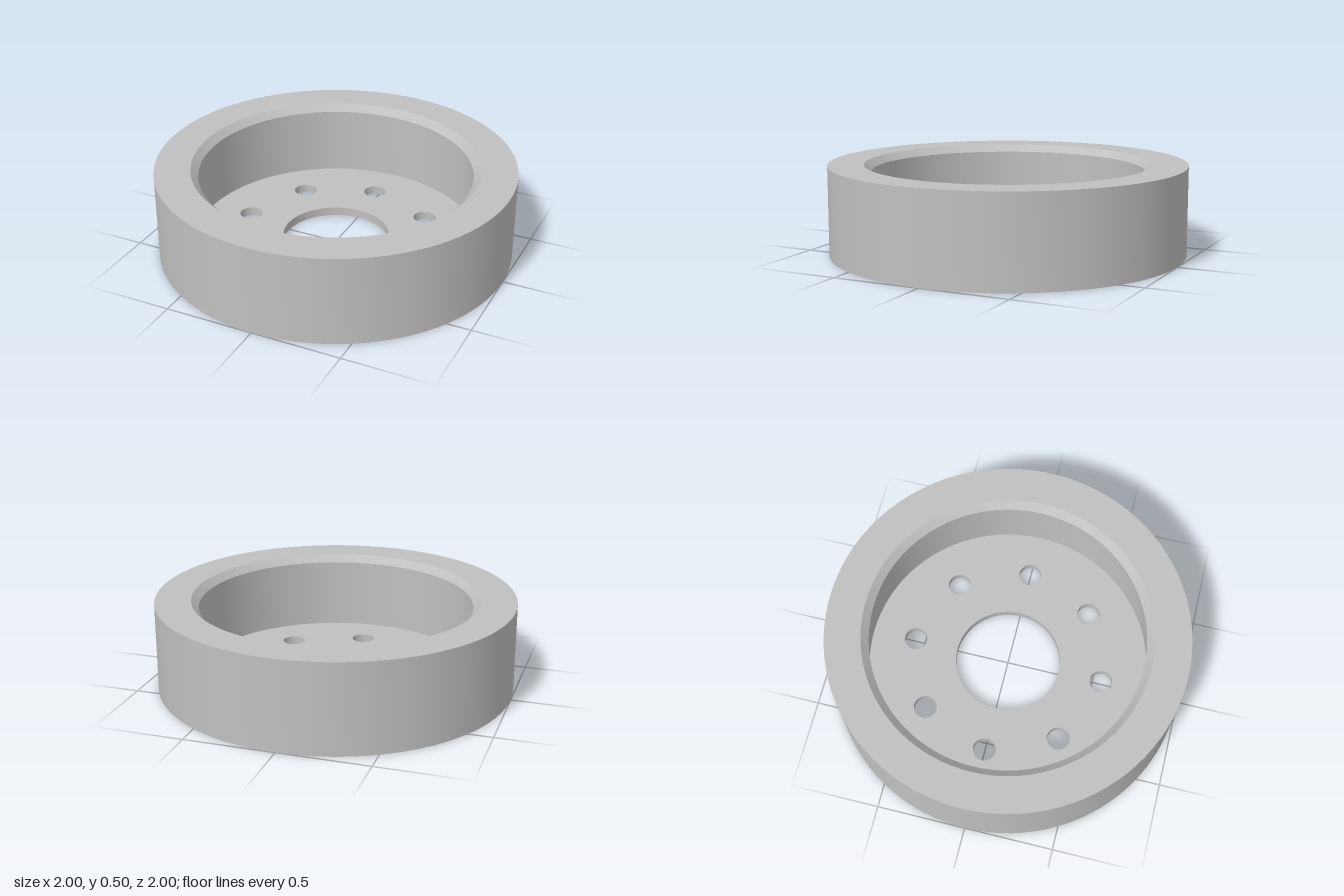
import * as THREE from 'three';
import { toCreasedNormals } from 'three/addons/utils/BufferGeometryUtils.js';

const SEGMENTS = 96;
const CREASE = 0.5;
const WALL_RADIUS = 0.8;
const FLOOR_THICKNESS = 0.05;

function circle(Type, x, y, radius) {
  const path = new Type();
  path.absarc(x, y, radius, 0, Math.PI * 2, false);
  return path;
}

export function createModel() {
  const group = new THREE.Group();
  group.name = 'hubRing';

  const metal = new THREE.MeshStandardMaterial({ color: 0xc0c0c0 });
  metal.name = 'grey metal';

  // Outer ring: thick wall with a bevelled lip that overhangs the recess
  const profile = [
    [WALL_RADIUS, 0],
    [1, 0],
    [1, 0.5],
    [WALL_RADIUS, 0.5],
    [0.76, 0.46],
    [WALL_RADIUS, 0.46],
    [WALL_RADIUS, FLOOR_THICKNESS],
  ].map(([r, y]) => new THREE.Vector2(r, y));
  const ringGeometry = toCreasedNormals(new THREE.LatheGeometry(profile, SEGMENTS), CREASE);
  const ring = new THREE.Mesh(ringGeometry, metal);
  ring.name = 'outerRing';
  group.add(ring);

  // Floor plate with a centre bore and eight bolt holes
  const plate = circle(THREE.Shape, 0, 0, WALL_RADIUS);
  plate.holes.push(circle(THREE.Path, 0, 0, 0.3));
  for (let i = 0; i < 8; i++) {
    const a = (i * Math.PI) / 4;
    plate.holes.push(circle(THREE.Path, 0.55 * Math.cos(a), 0.55 * Math.sin(a), 0.065));
  }
  const plateGeometry = new THREE.ExtrudeGeometry(plate, {
    depth: FLOOR_THICKNESS,
    bevelEnabled: false,
    curveSegments: SEGMENTS / 2,
  });
  plateGeometry.rotateX(-Math.PI / 2);
  const floor = new THREE.Mesh(toCreasedNormals(plateGeometry, CREASE), metal);
  floor.name = 'floorPlate';
  group.add(floor);

  return group;
}
